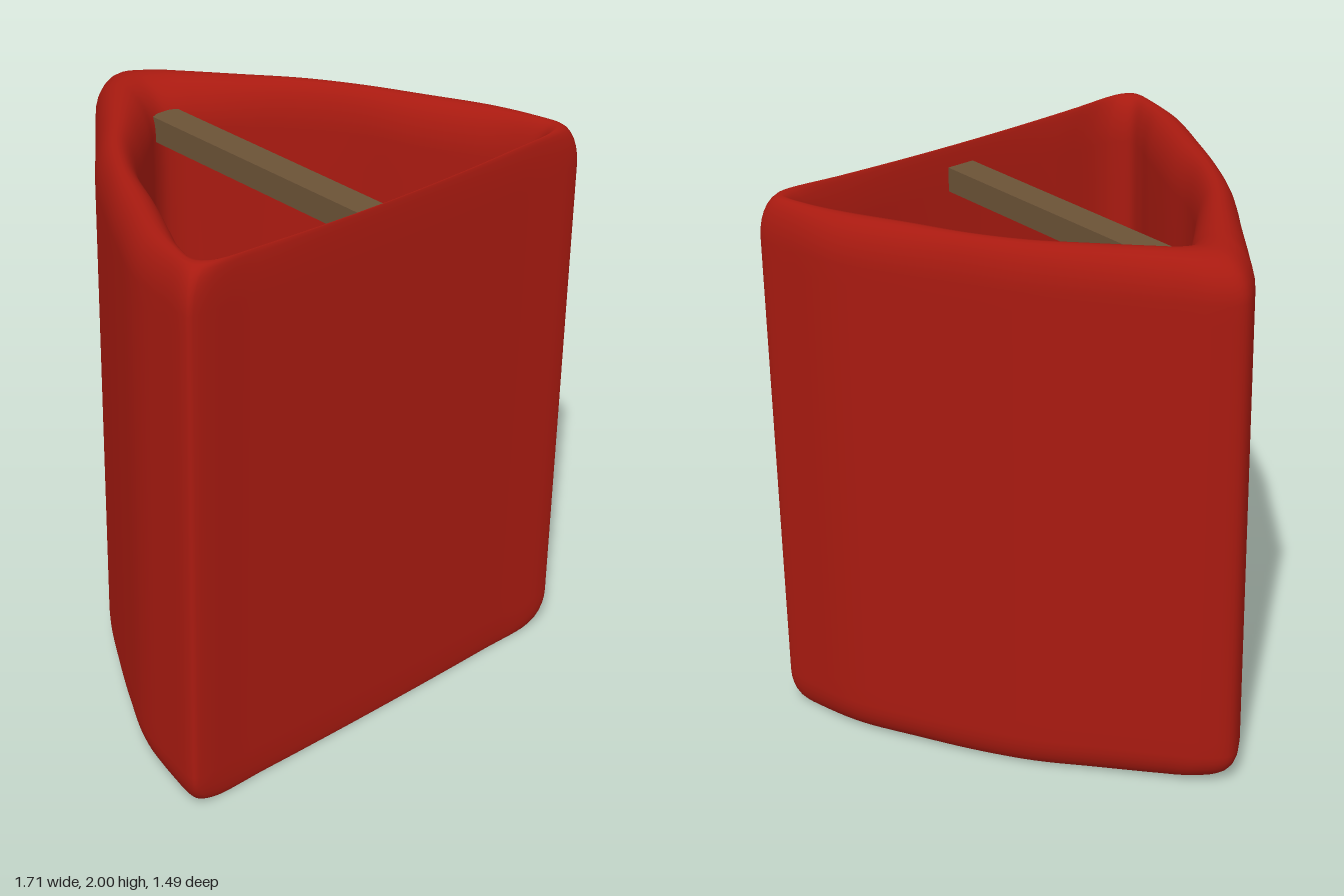
import * as THREE from 'three';

// Half outlines [x, z] from the rear apex round to the front middle; same count, so they pair up.
const OUTER = [[0, -0.745], [0.09, -0.69], [0.165, -0.6], [0.32, -0.4], [0.475, -0.2], [0.595, 0], [0.705, 0.2],
  [0.8, 0.4], [0.838, 0.58], [0.852, 0.72], [0.835, 0.735], [0.6, 0.735], [0, 0.735]];
const INNER = [[0, -0.42], [0.06, -0.4], [0.13, -0.34], [0.23, -0.25], [0.34, -0.14], [0.45, 0.02], [0.54, 0.23],
  [0.64, 0.43], [0.705, 0.55], [0.725, 0.63], [0.66, 0.69], [0.43, 0.71], [0, 0.72]];
const STEPS = 144;

// Mirrors a half outline and samples it as a smooth closed loop.
function outline(half) {
  const mirrored = half.slice(1, -1).reverse().map(([x, z]) => [-x, z]);
  const points = [...half, ...mirrored].map(([x, z]) => new THREE.Vector3(x, 0, z));
  const curve = new THREE.CatmullRomCurve3(points, true, 'centripetal');
  return Array.from({ length: STEPS }, (_, i) => curve.getPoint(i / STEPS));
}

// Rings as { t: blend outer to inner, y, s: scale about the middle }.
function wallRings() {
  const rings = [];
  const add = (t, y, s = 1) => rings.push({ t, y, s });
  const arc = (n, fn) => { for (let i = 0; i <= n; i++) fn(i / n * Math.PI / 2); };
  // Underside and its rounded edge
  add(0.5, 0, 0);
  add(0.5, 0, 0.95);
  arc(7, a => add(0.5 - 0.5 * Math.sin(a), 0.13 * (1 - Math.cos(a))));
  // Outer wall and rounded rim
  add(0, 0.2);
  add(0, 1.78);
  arc(7, a => add(0.5 - 0.5 * Math.cos(a), 1.85 + 0.15 * Math.sin(a)));
  arc(7, a => { if (a > 0) add(0.5 + 0.5 * Math.sin(a), 1.84 + 0.16 * Math.cos(a)); });
  // Inner wall curving into the floor
  add(1, 1.7);
  arc(6, a => add(1, 0.4 - 0.25 * Math.sin(a), 1 - 0.2 * (1 - Math.cos(a))));
  add(1, 0.15, 0.75);
  add(1, 0.15, 0);
  return rings;
}

function potGeometry() {
  const outer = outline(OUTER), inner = outline(INNER), rings = wallRings();
  const positions = [], index = [];
  const p = new THREE.Vector3();
  rings.forEach(({ t, y, s }, r) => {
    for (let i = 0; i < STEPS; i++) {
      p.lerpVectors(outer[i], inner[i], t);
      // The front rim dips slightly in its middle
      const dip = y > 1.8 && p.z > 0.65 ? 0.02 * Math.max(0, 1 - (p.x / 0.75) ** 2) : 0;
      positions.push(p.x * s, y - dip, 0.3 + (p.z - 0.3) * s);
      if (r === rings.length - 1) continue;
      const a = r * STEPS + i, b = r * STEPS + (i + 1) % STEPS;
      index.push(a, a + STEPS, b, b, a + STEPS, b + STEPS);
    }
  });
  const geometry = new THREE.BufferGeometry();
  geometry.setAttribute('position', new THREE.Float32BufferAttribute(positions, 3));
  geometry.setIndex(index);
  geometry.computeVertexNormals();
  return geometry;
}

export function createModel() {
  const model = new THREE.Group();
  const pot = new THREE.Mesh(potGeometry(), new THREE.MeshStandardMaterial({ color: 0xa81a10 }));
  pot.name = 'triangularContainer';

  // Bar spanning the opening from front wall to rear corner
  const bar = new THREE.Mesh(new THREE.BoxGeometry(0.11, 0.09, 1.15),
    new THREE.MeshStandardMaterial({ color: 0x6b5236 }));
  bar.name = 'crossBar';
  bar.position.set(0, 1.86, 0.145);

  model.add(pot, bar);
  return model;
}
